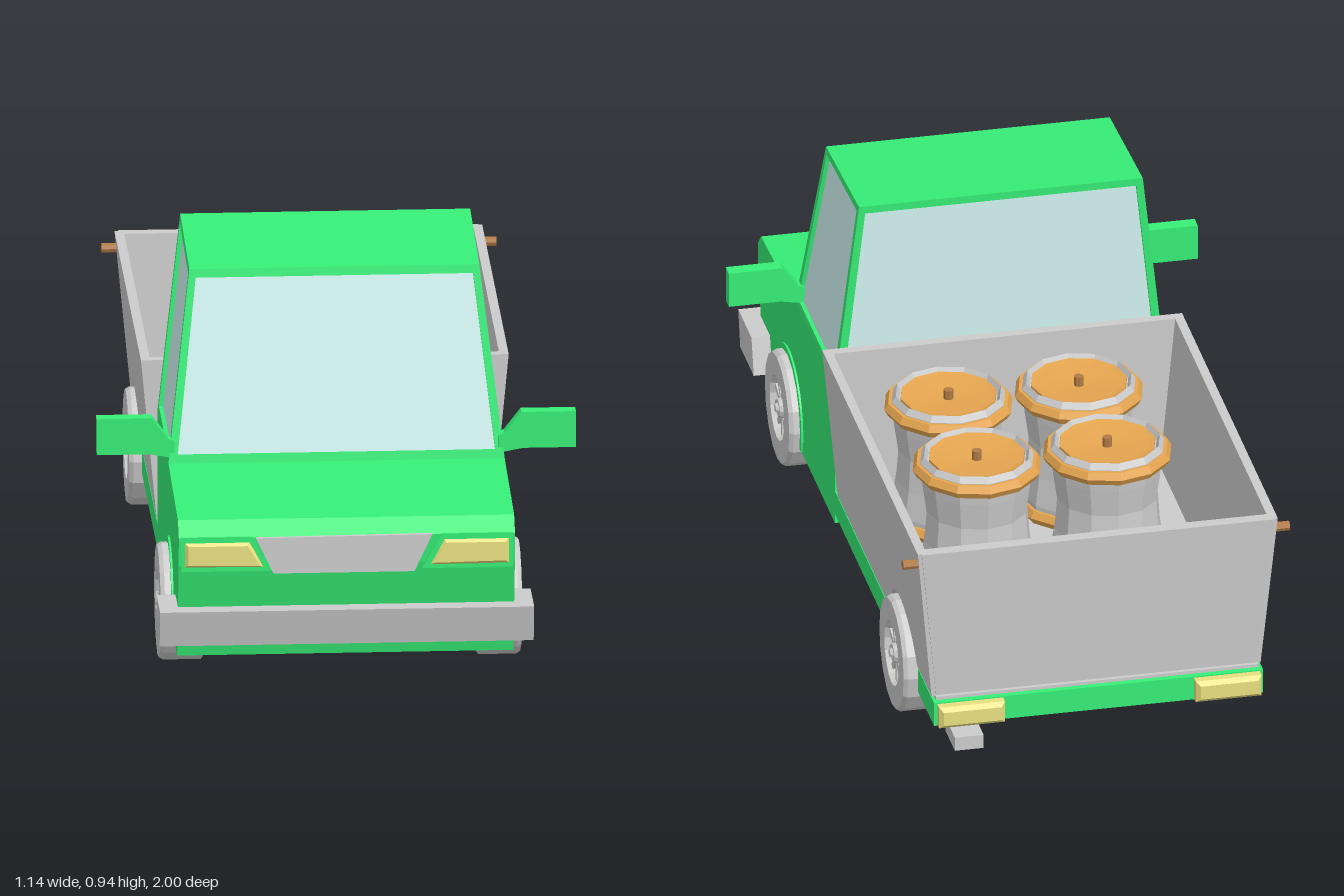
import * as THREE from 'three';

const mat = (color, side = THREE.FrontSide) => new THREE.MeshStandardMaterial({ color, side, flatShading: true });
const GREY = mat(0xcccccc), GREEN = mat(0x36ee77), GREEN2 = mat(0x36ee77, THREE.DoubleSide);
const GLASS = mat(0xd4f6f4, THREE.DoubleSide), YELLOW = mat(0xe8e080), ORANGE = mat(0xe6a650), BROWN = mat(0xb07a45);

function add(parent, name, geo, material, x = 0, y = 0, z = 0) {
  const m = new THREE.Mesh(geo, material);
  m.name = name;
  m.position.set(x, y, z);
  parent.add(m);
  return m;
}

const shapeOf = pts => new THREE.Shape(pts.map(p => new THREE.Vector2(p[0], p[1])));

// Side profile in (z, y), extruded across x0..x1
function extrudeX(shape, x0, x1) {
  const g = new THREE.ExtrudeGeometry(shape, { depth: x1 - x0, bevelEnabled: false, curveSegments: 10 });
  return g.rotateY(-Math.PI / 2).translate(x1, 0, 0);
}

// Plan outline in (x, z), extruded down from y1 to y0
function extrudeY(shape, y0, y1) {
  const g = new THREE.ExtrudeGeometry(shape, { depth: y1 - y0, bevelEnabled: false });
  return g.rotateX(Math.PI / 2).translate(0, y1, 0);
}

// Front outline in (x, y), extruded z0..z1
function extrudeZ(pts, z0, z1, bevel = 0) {
  const g = new THREE.ExtrudeGeometry(shapeOf(pts), {
    depth: z1 - z0 - bevel, bevelEnabled: bevel > 0, bevelSize: bevel, bevelOffset: -bevel, bevelThickness: bevel, bevelSegments: 1,
  });
  return g.translate(0, 0, z0);
}

function quads(list) {
  const pos = [];
  for (const [a, b, c, d] of list) for (const p of [a, b, c, a, c, d]) pos.push(p.x, p.y, p.z);
  const g = new THREE.BufferGeometry();
  g.setAttribute('position', new THREE.Float32BufferAttribute(pos, 3));
  g.computeVertexNormals();
  return g;
}

// Cab panel: frame around a recessed pane; corners counter-clockwise from bottom left
function windowPanel(parent, name, c, mu, mv) {
  const at = (u, v) => c[0].clone().lerp(c[1], u).lerp(c[3].clone().lerp(c[2], u), v);
  const inner = [at(mu, mv), at(1 - mu, mv), at(1 - mu, 1 - mv), at(mu, 1 - mv)];
  const n = c[1].clone().sub(c[0]).cross(c[3].clone().sub(c[0])).normalize().multiplyScalar(-0.01);
  const deep = inner.map(p => p.clone().add(n));
  const faces = [];
  for (let i = 0; i < 4; i++) {
    const j = (i + 1) % 4;
    faces.push([c[i], c[j], inner[j], inner[i]], [inner[i], inner[j], deep[j], deep[i]]);
  }
  add(parent, name + 'Frame', quads(faces), GREEN2);
  add(parent, name + 'Glass', quads([deep]), GLASS);
}

function wheel(parent, name, side, z) {
  const w = new THREE.Group();
  w.name = name;
  const V = (r, h) => new THREE.Vector2(r, h);
  const tyre = new THREE.LatheGeometry([V(0, -0.055), V(0.125, -0.055), V(0.141, -0.045), V(0.141, 0.045),
    V(0.135, 0.055), V(0.08, 0.055), V(0.072, 0.03), V(0, 0.03)], 16);
  add(w, 'tyre', tyre, GREY);
  for (let i = 0; i < 10; i++) {
    const spoke = new THREE.BoxGeometry(0.05, 0.012, 0.014).translate(0.05, 0.038, 0);
    add(w, 'spoke', spoke.rotateY(i * Math.PI / 5), GREY);
  }
  add(w, 'hub', new THREE.CylinderGeometry(0.022, 0.03, 0.022, 10), GREY, 0, 0.042, 0);
  add(w, 'hubCap', new THREE.CylinderGeometry(0.01, 0.014, 0.008, 8), GREY, 0, 0.056, 0);
  w.rotation.z = -side * Math.PI / 2;
  w.position.set(side * 0.375, 0.141, z);
  parent.add(w);
}

function barrel(parent, x, z) {
  const b = new THREE.Group();
  b.name = 'barrel';
  const V = (r, h) => new THREE.Vector2(r, h);
  const body = [V(0, 0), V(0.135, 0), V(0.138, 0.05), V(0.128, 0.12), V(0.122, 0.2), V(0.132, 0.27), V(0.138, 0.33),
    V(0.128, 0.345), V(0.12, 0.33), V(0, 0.32)];
  add(b, 'barrelBody', new THREE.LatheGeometry(body, 12), GREY);
  for (const [r, y] of [[0.135, 0.022], [0.137, 0.312]])
    add(b, 'barrelHoop', new THREE.TorusGeometry(r, 0.019, 6, 12).rotateX(Math.PI / 2), ORANGE, 0, y, 0);
  add(b, 'barrelLid', new THREE.LatheGeometry([V(0.118, 0.322), V(0.116, 0.338), V(0.105, 0.336), V(0, 0.326)].reverse(), 12),
    mat(0xe6a650, THREE.DoubleSide));
  add(b, 'lidKnob', new THREE.CylinderGeometry(0.012, 0.012, 0.025, 8), BROWN, 0, 0.338, 0);
  b.position.set(x, 0.182, z);
  parent.add(b);
}

export function createModel() {
  const truck = new THREE.Group();
  truck.name = 'pickupTruck';

  // Lower cab and bonnet
  const body = [[0.92, 0.09], [0.98, 0.33], [0.985, 0.4], [0.95, 0.435], [0.57, 0.46], [0.13, 0.46], [0.13, 0.09]];
  add(truck, 'cabBody', extrudeX(shapeOf(body), -0.4, 0.4), GREEN);

  // Upper cab with windows on all four sides
  const P = (x, y, z) => new THREE.Vector3(x, y, z);
  const [fl, fr, bl, br] = [P(0.4, 0.46, 0.57), P(-0.4, 0.46, 0.57), P(0.4, 0.46, 0.13), P(-0.4, 0.46, 0.13)];
  const [tfl, tfr, tbl, tbr] = [P(0.345, 0.915, 0.48), P(-0.345, 0.915, 0.48), P(0.345, 0.942, 0.113), P(-0.345, 0.942, 0.113)];
  windowPanel(truck, 'windscreen', [fr, fl, tfl, tfr], 0.025, 0.045);
  windowPanel(truck, 'rearWindow', [bl, br, tbr, tbl], 0.025, 0.04);
  windowPanel(truck, 'leftWindow', [fl, bl, tbl, tfl], 0.05, 0.035);
  windowPanel(truck, 'rightWindow', [br, fr, tfr, tbr], 0.05, 0.035);
  add(truck, 'roof', quads([[tfr, tfl, tbl, tbr]]), GREEN2);

  // Grille and bumper
  add(truck, 'grille', extrudeZ([[-0.175, 0.312], [0.16, 0.312], [0.203, 0.403], [-0.217, 0.4]], 0.96, 0.994), GREY);
  add(truck, 'bumper', extrudeX(shapeOf([[0.975, 0.13], [0.997, 0.22], [0.85, 0.22], [0.825, 0.13]]), -0.445, 0.445), GREY);

  // Chassis plate and bed floor, notched for the rear wheels
  const plan = [[-0.4, -0.97], [0.4, -0.97], [0.4, -0.79], [0.31, -0.79], [0.31, -0.49], [0.4, -0.49], [0.4, 0.14],
    [-0.4, 0.14], [-0.4, -0.49], [-0.31, -0.49], [-0.31, -0.79], [-0.4, -0.79]];
  add(truck, 'chassis', extrudeY(shapeOf(plan), 0.115, 0.176), GREEN);
  add(truck, 'bedFloor', extrudeY(shapeOf(plan.map(([x, z]) => [x * 0.98, Math.max(-0.955, Math.min(z, 0.1))])), 0.176, 0.184), GREY);

  for (const s of [1, -1]) {
    const tag = s > 0 ? 'left' : 'right';
    const flip = pts => pts.map(([x, y]) => [s * x, y]);

    // Flared bed side with wheel arch
    const wall = new THREE.Shape();
    wall.moveTo(0.1, 0.18);
    wall.lineTo(0.1, 0.575);
    wall.lineTo(-0.962, 0.575);
    wall.lineTo(-0.942, 0.18);
    const a = Math.asin(0.04 / 0.152);
    wall.absarc(-0.635, 0.14, 0.152, Math.PI - a, a, true);
    const wallGeo = extrudeX(wall, s > 0 ? 0.378 : -0.4, s > 0 ? 0.4 : -0.378);
    const p = wallGeo.attributes.position;
    for (let i = 0; i < p.count; i++) p.setX(i, p.getX(i) + s * (p.getY(i) - 0.18) * 0.095);
    wallGeo.computeVertexNormals();
    add(truck, tag + 'BedSide', wallGeo, GREY);

    // Headlight with surround
    add(truck, tag + 'HeadlightSurround',
      extrudeZ(flip([[0.178, 0.317], [0.395, 0.317], [0.395, 0.402], [0.225, 0.402]]), 0.96, 0.987), GREEN);
    add(truck, tag + 'Headlight',
      extrudeZ(flip([[0.193, 0.323], [0.39, 0.323], [0.39, 0.393], [0.229, 0.393]]), 0.965, 0.994, 0.012), YELLOW);

    // Door mirror
    add(truck, tag + 'Mirror', extrudeZ(flip([[0.385, 0.472], [0.445, 0.483], [0.57, 0.483], [0.57, 0.572],
      [0.44, 0.572], [0.4, 0.52], [0.385, 0.515]]), 0.53, 0.565), GREEN);

    // Front wheel arch lip
    const lip = new THREE.Shape();
    lip.absarc(0.635, 0.141, 0.155, -0.3, Math.PI + 0.3, false);
    lip.absarc(0.635, 0.141, 0.135, Math.PI + 0.3, -0.3, true);
    add(truck, tag + 'ArchLip', extrudeX(lip, s > 0 ? 0.39 : -0.405, s > 0 ? 0.405 : -0.39), GREEN);

    // Tail lamp and tailgate pin
    add(truck, tag + 'TailLamp',
      extrudeZ([[-0.08, 0], [0.08, 0], [0.08, 0.055], [-0.08, 0.055]], 0, 0.035, 0.01).rotateY(Math.PI),
      YELLOW, s * 0.312, 0.118, -0.965);
    add(truck, tag + 'TailgatePin', new THREE.CylinderGeometry(0.012, 0.012, 0.06, 8).rotateZ(Math.PI / 2),
      BROWN, s * 0.44, 0.54, -0.94);

    wheel(truck, tag + 'FrontWheel', s, 0.635);
    wheel(truck, tag + 'RearWheel', s, -0.635);
  }

  // Bed headboard and leaning tailgate
  const board = [[-0.395, 0.18], [0.395, 0.18], [0.435, 0.575], [-0.435, 0.575]];
  add(truck, 'bedHeadboard', extrudeZ(board, 0.075, 0.1), GREY);
  const gate = extrudeZ(board.map(([x, y]) => [x * 0.985, y]), -0.945, -0.915);
  const gp = gate.attributes.position;
  for (let i = 0; i < gp.count; i++) gp.setZ(i, gp.getZ(i) - (gp.getY(i) - 0.18) * 0.055);
  gate.computeVertexNormals();
  add(truck, 'tailgate', gate, GREY);

  // Exhaust
  add(truck, 'exhaustPipe', new THREE.BoxGeometry(0.07, 0.035, 0.105), GREY, 0.32, 0.074, -0.943);
  add(truck, 'exhaustHanger', new THREE.BoxGeometry(0.05, 0.04, 0.045), GREY, 0.32, 0.1, -0.915);

  // Cargo
  for (const x of [-0.147, 0.17]) for (const z of [-0.395, -0.08]) barrel(truck, x, z);

  return truck;
}
